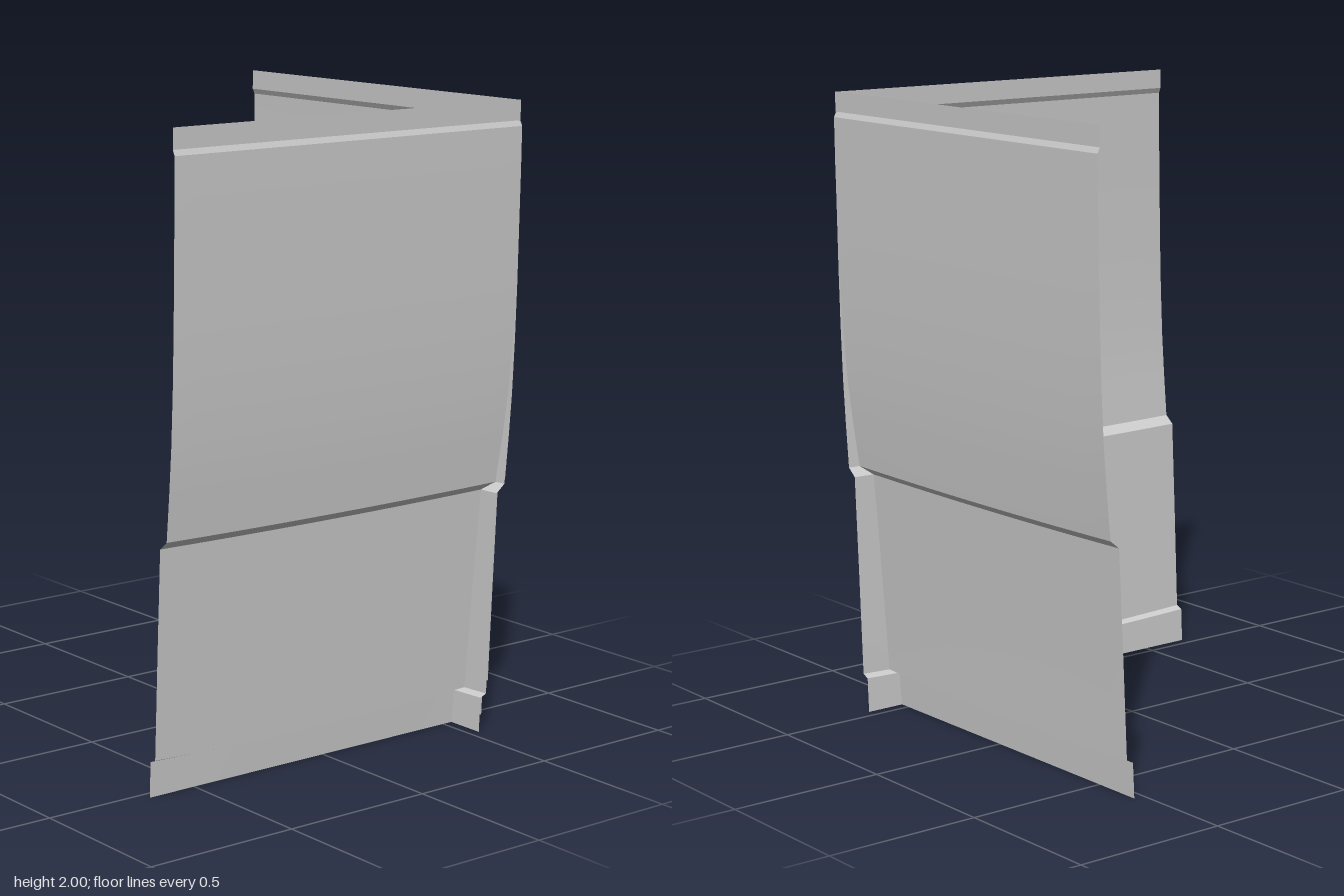
import * as THREE from 'three';

const HALF = 0.665; // half length of each wall
const COLS = 16;

const material = new THREE.MeshStandardMaterial({ color: 0xcccccc, side: THREE.DoubleSide });

// Bands of the wall section from bottom to top: [outward distance, height, sag at mid-length]
const BANDS = {
  skirt: [[0.535, 0, 0], [0.54, 0.112, 0.012]],
  lowerLedge: [[0.54, 0.112, 0.012], [0.563, 0.122, 0.014]],
  lowerPanel: [[0.563, 0.122, 0.014], [0.577, 0.45, 0.006], [0.592, 0.771, 0.006]],
  middleLedge: [[0.592, 0.771, 0.006], [0.624, 0.797, 0.006]],
  upperPanel: [[0.624, 0.797, 0.006], [0.638, 0.95, 0.003], [0.648, 1.08, 0], [0.656, 1.25, 0],
    [0.661, 1.42, 0], [0.664, 1.6, 0], [0.667, 1.78, 0], [0.668, 1.92, 0]],
  topChamfer: [[0.668, 1.92, 0], [0.66, 1.937, 0]],
  topBand: [[0.66, 1.937, 0], [0.661, 2, 0]],
};

// Thin sheet swept along x, its middle sagging by the given amounts
function sheet(rows) {
  const positions = [], index = [];
  rows.forEach(([d, y, sag], r) => {
    for (let c = 0; c <= COLS; c++) {
      const u = (c / COLS) * 2 - 1;
      positions.push(u * HALF, y - sag * (1 - u * u), -d);
      if (r > 0 && c > 0) {
        const b = r * (COLS + 1) + c, a = b - COLS - 1;
        index.push(a - 1, b - 1, a, a, b - 1, b);
      }
    }
  });
  const geometry = new THREE.BufferGeometry();
  geometry.setAttribute('position', new THREE.Float32BufferAttribute(positions, 3));
  geometry.setIndex(index);
  geometry.computeVertexNormals();
  return geometry;
}

// One wall; separate bands keep the creases between them sharp
function wall(name) {
  const group = new THREE.Group();
  group.name = name;
  for (const [part, rows] of Object.entries(BANDS)) {
    const mesh = new THREE.Mesh(sheet(rows), material);
    mesh.name = part;
    group.add(mesh);
  }
  return group;
}

export function createModel() {
  const model = new THREE.Group();
  model.name = 'cornerWall';
  // The two walls cross at the corner, leaving short flaps where they step inward
  const back = wall('backWall');
  const side = wall('sideWall');
  side.rotation.y = -Math.PI / 2;
  model.add(back, side);
  return model;
}
